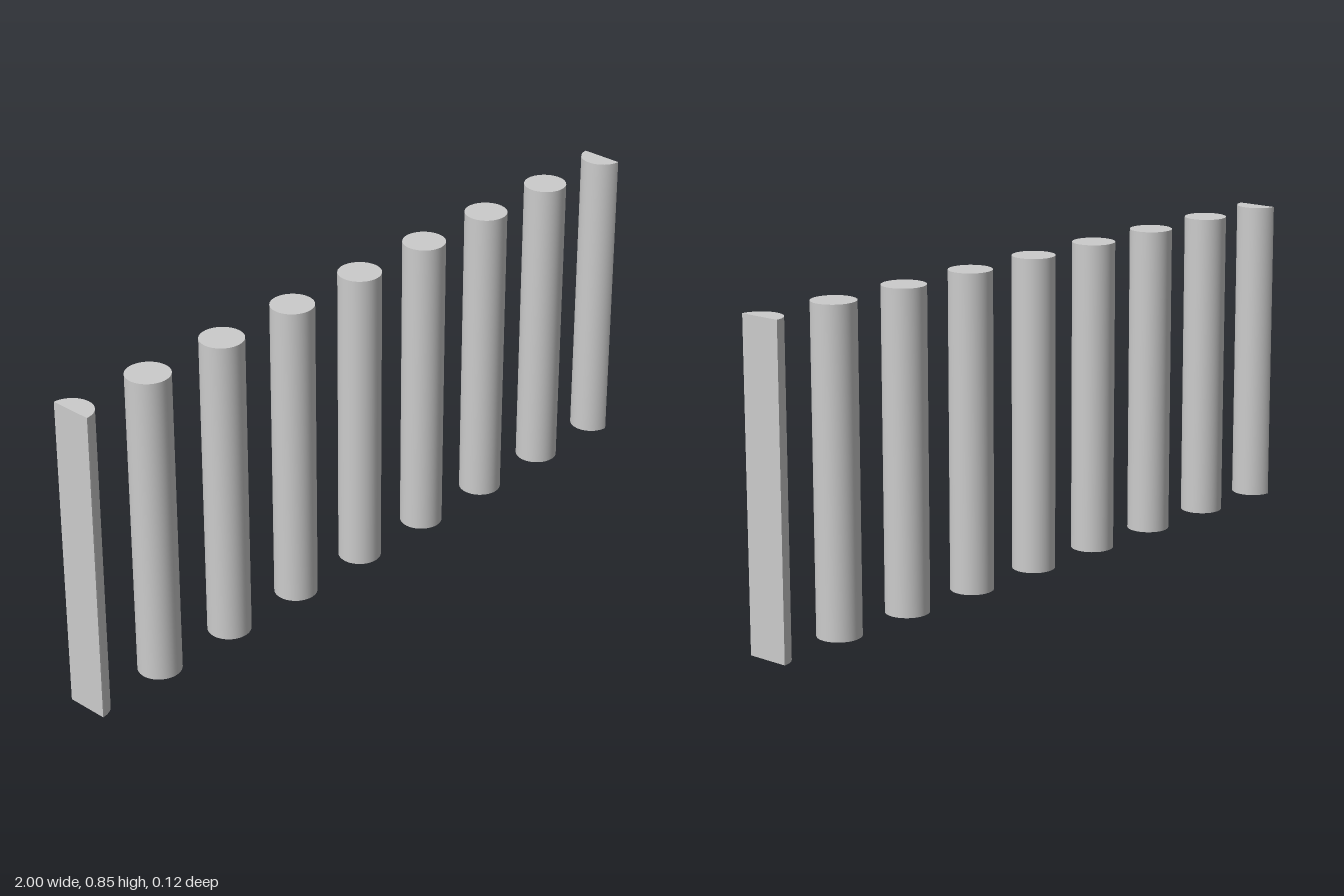
import * as THREE from 'three';

const RADIUS = 0.058, HEIGHT = 0.853, SPACING = 0.25, SIDES = 48;

export function createModel() {
  const model = new THREE.Group();
  model.name = 'columnRow';
  const stone = new THREE.MeshStandardMaterial({ color: 0xcccccc });
  stone.name = 'light grey stone';

  const add = (parent, name, geometry, x = 0) => {
    const mesh = new THREE.Mesh(geometry, stone);
    mesh.name = name;
    mesh.position.set(x, HEIGHT / 2, 0);
    parent.add(mesh);
    return mesh;
  };

  // Seven full round columns
  const round = new THREE.CylinderGeometry(RADIUS, RADIUS, HEIGHT, SIDES);
  for (let i = -3; i <= 3; i++) add(model, `column${i + 4}`, round, i * SPACING);

  // Half columns at both ends, with the flat cut facing outward
  const cut = new THREE.PlaneGeometry(2 * RADIUS, HEIGHT);
  for (const side of [-1, 1]) {
    const half = new THREE.Group();
    half.name = side > 0 ? 'leftHalfColumn' : 'rightHalfColumn';
    half.position.x = side;
    const start = side > 0 ? Math.PI : 0;
    add(half, 'halfShaft', new THREE.CylinderGeometry(
      RADIUS, RADIUS, HEIGHT, SIDES / 2, 1, false, start, Math.PI));
    add(half, 'cutFace', cut).rotation.y = side * Math.PI / 2;
    model.add(half);
  }
  return model;
}
